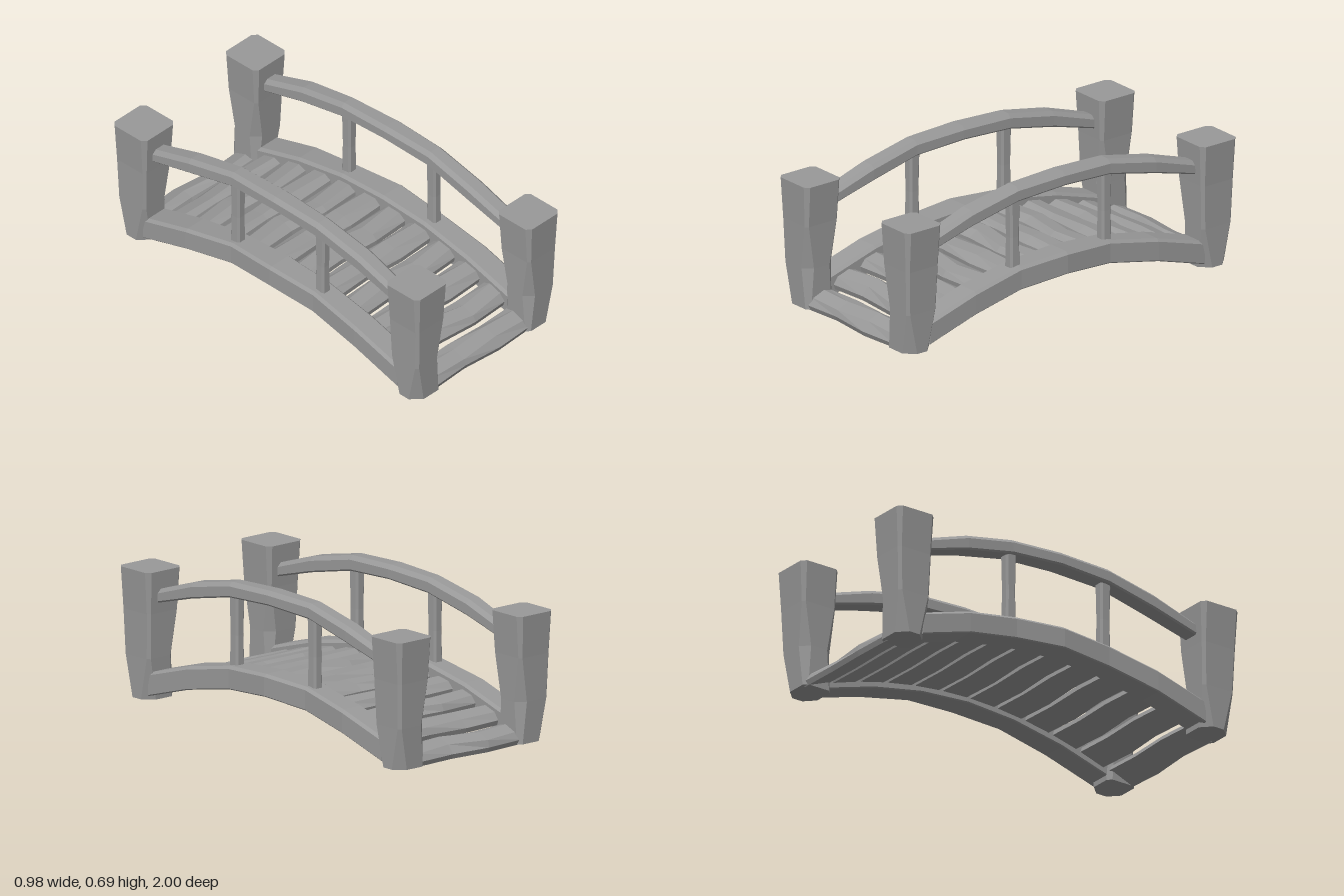
import * as THREE from 'three';

const material = new THREE.MeshStandardMaterial({ color: 0x999999, flatShading: true });

// Rectangle with cut corners, counter-clockwise; the cuts may differ at +v and -v
function cutRect(width, height, cutTop, cutBottom) {
  const w = width / 2, h = height / 2, t = cutTop, b = cutBottom;
  return [[w - b, -h], [w, b - h], [w, h - t], [w - t, h], [t - w, h], [-w, h - t], [-w, b - h], [b - w, -h]];
}

// Skin a row of closed cross-sections and cap both ends
function loft(name, rings) {
  const n = rings[0].length, last = (rings.length - 1) * n, index = [];
  for (let r = 0; r < rings.length - 1; r++) {
    for (let i = 0; i < n; i++) {
      const a = r * n + i, b = r * n + (i + 1) % n;
      index.push(a, b, b + n, a, b + n, a + n);
    }
  }
  for (let i = 1; i < n - 1; i++) {
    index.push(0, i + 1, i, last, last + i, last + i + 1);
  }
  const geometry = new THREE.BufferGeometry();
  geometry.setAttribute('position', new THREE.Float32BufferAttribute(rings.flat(2), 3));
  geometry.setIndex(index);
  const flat = geometry.toNonIndexed();
  flat.computeVertexNormals();
  const mesh = new THREE.Mesh(flat, material);
  mesh.name = name;
  return mesh;
}

// Upright piece: levels are [y, width, depth, outer cut, inner cut]
function upright(name, side, x, z, levels) {
  return loft(name, levels.map(([y, width, depth, outer, inner]) =>
    cutRect(depth, width, side > 0 ? outer : inner, side > 0 ? inner : outer)
      .map(([u, v]) => [x * side + v, y, z + u])));
}

// Arched piece: stations are [z, bottom, top, width, sideways bend]
function arch(name, side, x, cut, stations) {
  return loft(name, stations.map(([z, bottom, top, width, bend]) =>
    cutRect(width, top - bottom, cut, cut * 0.4)
      .map(([u, v]) => [side * (x + bend) + u, (bottom + top) / 2 + v, z])));
}

// Wavy board with a flat underside and broad worn bevels on top
function plank(i) {
  const z = (i - 5.5) * 0.163;
  const flip = i % 2 ? 1 : -1;
  const rings = [-0.325, -0.11, 0.11, 0.325].map((x, k) => {
    const d = [0.07, 0.069, 0.072, 0.07][k];
    const shift = [0.002, -0.006, 0.006, -0.001][k];
    const ridge = [0, 0.012, -0.012, 0.004][k] * flip;
    const top = 0.026 + [0, -0.003, 0.002, 0][k] * flip;
    return [[-0.026, -d], [0, -d], [top, ridge - 0.035], [top, ridge + 0.035], [0, d], [-0.026, d]]
      .map(([u, v]) => [x, u, v + shift]);
  });
  const mesh = loft('plank', rings);
  mesh.position.set(0, 0.23 - 0.222 * z * z, z);
  mesh.rotation.x = Math.atan(0.444 * z);
  return mesh;
}

export function createModel() {
  const group = new THREE.Group();
  group.name = 'footbridge';

  // Deck boards follow the arch
  const deck = new THREE.Group();
  deck.name = 'deck';
  for (let i = 0; i < 12; i++) deck.add(plank(i));
  group.add(deck);

  for (const side of [-1, 1]) {
    // Side beam under the railing
    group.add(arch('sideBeam', side, 0.378, 0.014, [
      [-0.83, 0.024, 0.139, 0.135, 0.004],
      [-0.55, 0.108, 0.222, 0.135, 0.005],
      [-0.27, 0.162, 0.276, 0.12, -0.004],
      [0, 0.18, 0.291, 0.14, 0.004],
      [0.27, 0.162, 0.276, 0.125, -0.002],
      [0.55, 0.108, 0.222, 0.135, 0.003],
      [0.83, 0.024, 0.139, 0.135, 0.004],
    ]));

    // Handrail
    group.add(arch('handrail', side, 0.378, 0.02, [
      [-0.86, 0.462, 0.525, 0.09, 0],
      [-0.55, 0.548, 0.625, 0.1, 0.005],
      [-0.28, 0.606, 0.681, 0.095, -0.003],
      [0, 0.62, 0.69, 0.105, 0.001],
      [0.28, 0.606, 0.681, 0.095, 0.003],
      [0.55, 0.548, 0.625, 0.1, -0.003],
      [0.86, 0.462, 0.525, 0.09, 0],
    ]));

    for (const end of [-1, 1]) {
      // Slim balusters between beam and rail
      group.add(upright('baluster', side, 0.378, end * 0.277, [
        [0.24, 0.056, 0.06, 0.01, 0.01],
        [0.42, 0.05, 0.054, 0.01, 0.01],
        [0.64, 0.056, 0.062, 0.01, 0.01],
      ]));

      // Heavy corner posts, wider at the top
      group.add(upright('cornerPost', side, 0.38, end * 0.892, [
        [0.005, 0.17, 0.16, 0.05, 0.02],
        [0.21, 0.177, 0.178, 0.014, 0.042],
        [0.43, 0.19, 0.194, 0.014, 0.014],
        [0.635, 0.218, 0.216, 0.022, 0.022],
      ]));
    }
  }
  return group;
}
